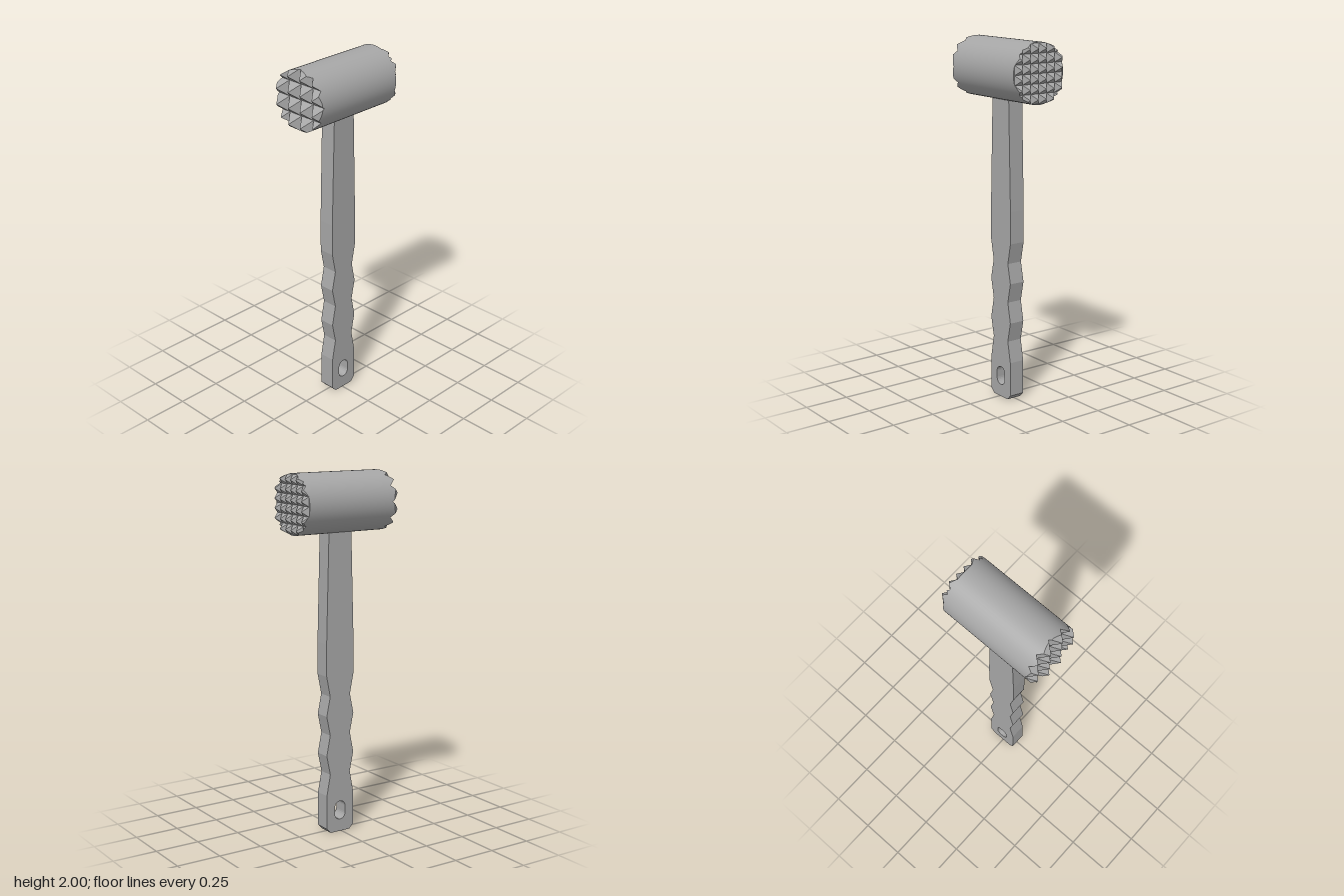
import * as THREE from 'three';

const SIDES = 64, RADIUS = 0.163, HEAD_Y = 1.837, MID_X = 0.008;
const BACK_X = -0.253, FACE_X = 0.275;

// Keeps the part of a convex polygon of [y, z, height] points inside one side of the head's rim
function clip(poly, ny, nz, d) {
  const out = [];
  poly.forEach((p, i) => {
    const q = poly[(i + 1) % poly.length];
    const a = p[0] * ny + p[1] * nz - d, b = q[0] * ny + q[1] * nz - d;
    if (a <= 1e-9) out.push(p);
    if ((a < -1e-9 && b > 1e-9) || (a > 1e-9 && b < -1e-9)) {
      const t = a / (a - b);
      out.push(p.map((c, j) => c + (q[j] - c) * t));
    }
  });
  return out;
}

// Grid of pyramids trimmed to the round head, with walls where the rim cuts them
function spikeFace(baseX, sign, pitch, height, cells) {
  const pos = [], nor = [];
  const rim = [];
  for (let k = 0; k < SIDES; k++) {
    const a = ((k + 0.5) / SIDES) * Math.PI * 2;
    rim.push([Math.cos(a), Math.sin(a), RADIUS * Math.cos(Math.PI / SIDES)]);
  }
  const tri = (a, b, c, normalOf) => {
    for (const p of sign > 0 ? [a, b, c] : [a, c, b]) {
      pos.push(baseX + sign * p[2], p[0], p[1]);
      nor.push(...normalOf(p));
    }
  };
  const radial = (p) => {
    const r = Math.hypot(p[0], p[1]);
    return [0, p[0] / r, p[1] / r];
  };
  const h = pitch / 2;
  const corners = [[-1, -1], [1, -1], [1, 1], [-1, 1]];
  for (let i = -cells; i < cells; i++) for (let j = -cells; j < cells; j++) {
    const cy = (i + 0.5) * pitch, cz = (j + 0.5) * pitch;
    corners.forEach((c, n) => {
      const e = corners[(n + 1) % 4];
      let poly = [[cy, cz, height],
        [cy + c[0] * h, cz + c[1] * h, 0], [cy + e[0] * h, cz + e[1] * h, 0]];
      for (const r of rim) poly = clip(poly, ...r);
      if (poly.length < 3) return;
      // facet normal leans towards the middle of its base edge
      const facet = new THREE.Vector3(sign * h, (c[0] + e[0]) / 2 * height, (c[1] + e[1]) / 2 * height)
        .normalize().toArray();
      for (let m = 1; m < poly.length - 1; m++) tri(poly[0], poly[m], poly[m + 1], () => facet);
      poly.forEach((p, m) => {
        const q = poly[(m + 1) % poly.length];
        const on = rim.some(([ny, nz, d]) => Math.abs(p[0] * ny + p[1] * nz - d) < 1e-6
          && Math.abs(q[0] * ny + q[1] * nz - d) < 1e-6);
        if (!on) return;
        const p0 = [p[0], p[1], 0], q0 = [q[0], q[1], 0];
        tri(p, p0, q0, radial);
        tri(p, q0, q, radial);
      });
    });
  }
  const geo = new THREE.BufferGeometry();
  geo.setAttribute('position', new THREE.Float32BufferAttribute(pos, 3));
  geo.setAttribute('normal', new THREE.Float32BufferAttribute(nor, 3));
  return geo;
}

export function createModel() {
  const model = new THREE.Group();
  model.name = 'meatMallet';
  const metal = new THREE.MeshStandardMaterial({ color: 0xa6a6a6 });
  metal.name = 'grey metal';
  const add = (name, geo, parent) => {
    const mesh = new THREE.Mesh(geo, metal);
    mesh.name = name;
    parent.add(mesh);
    return mesh;
  };

  // Round head with coarse spikes on one end and fine spikes on the other
  const head = new THREE.Group();
  head.name = 'head';
  head.position.y = HEAD_Y;
  model.add(head);
  const barrel = new THREE.CylinderGeometry(RADIUS, RADIUS, FACE_X - BACK_X, SIDES);
  barrel.rotateZ(Math.PI / 2).translate((FACE_X + BACK_X) / 2, 0, 0);
  add('barrel', barrel, head);
  add('coarseSpikes', spikeFace(BACK_X, -1, 0.0855, 0.055, 2), head);
  add('fineSpikes', spikeFace(FACE_X, 1, 0.0522, 0.033, 3), head);

  // Flat handle with a wavy grip: [half width, height]
  const side = [[0.062, 0], [0.088, 0.027], [0.088, 0.22], [0.065, 0.34], [0.088, 0.45],
    [0.065, 0.565], [0.088, 0.675], [0.065, 0.785], [0.088, 0.9], [0.088, 1.08], [0.071, 1.72]];
  const outline = [...side, ...side.map(([x, y]) => [-x, y]).reverse()];
  const shape = new THREE.Shape(outline.map(([x, y]) => new THREE.Vector2(x, y)));

  // Hanging hole with rounded ends
  const hole = new THREE.Path();
  hole.moveTo(0.035, 0.103);
  hole.lineTo(0.035, 0.143);
  hole.absarc(0, 0.141, 0.035, 0, Math.PI, false);
  hole.lineTo(-0.035, 0.103);
  hole.absarc(0, 0.105, 0.035, Math.PI, Math.PI * 2, false);
  shape.holes.push(hole);
  const handle = new THREE.ExtrudeGeometry(shape, { depth: 0.09, bevelEnabled: false, curveSegments: 6 });
  handle.translate(MID_X, 0, -0.045);
  add('handle', handle, model);

  return model;
}
